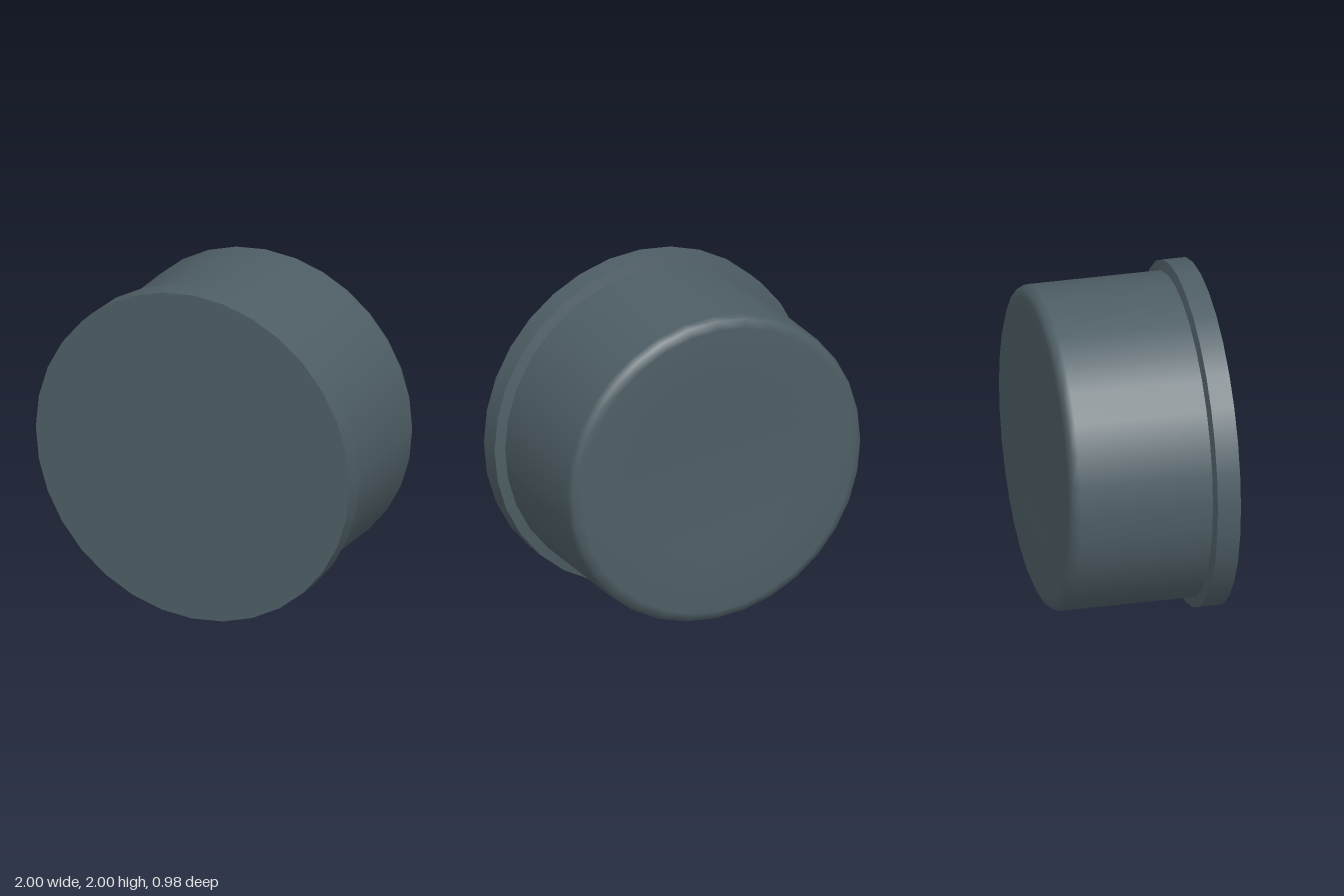
import * as THREE from 'three';

export function createModel() {
  const model = new THREE.Group();
  const slate = new THREE.MeshStandardMaterial({ color: 0x4e5e65 });
  slate.name = 'slate grey';

  // Turned section, profile points are [radius, z]; separate sections keep hard edges
  const turned = (name, profile) => {
    const points = profile.map(([r, z]) => new THREE.Vector2(r, -z));
    const mesh = new THREE.Mesh(new THREE.LatheGeometry(points, 32), slate);
    mesh.name = name;
    mesh.rotation.x = -Math.PI / 2;
    mesh.position.y = 1;
    model.add(mesh);
  };

  // Flat front face, flange edge and its shallow rear shoulder
  turned('frontFace', [[0, 0.49], [1, 0.49]]);
  turned('flangeEdge', [[1, 0.49], [1, 0.355]]);
  turned('flangeShoulder', [[1, 0.355], [0.94, 0.34]]);

  // Plug body with a rounded rear rim and a shallow dish in the back
  turned('body', [
    [0.94, 0.34], [0.94, -0.43], [0.92, -0.47], [0.87, -0.49],
    [0.52, -0.49], [0.44, -0.47], [0, -0.47],
  ]);

  return model;
}
